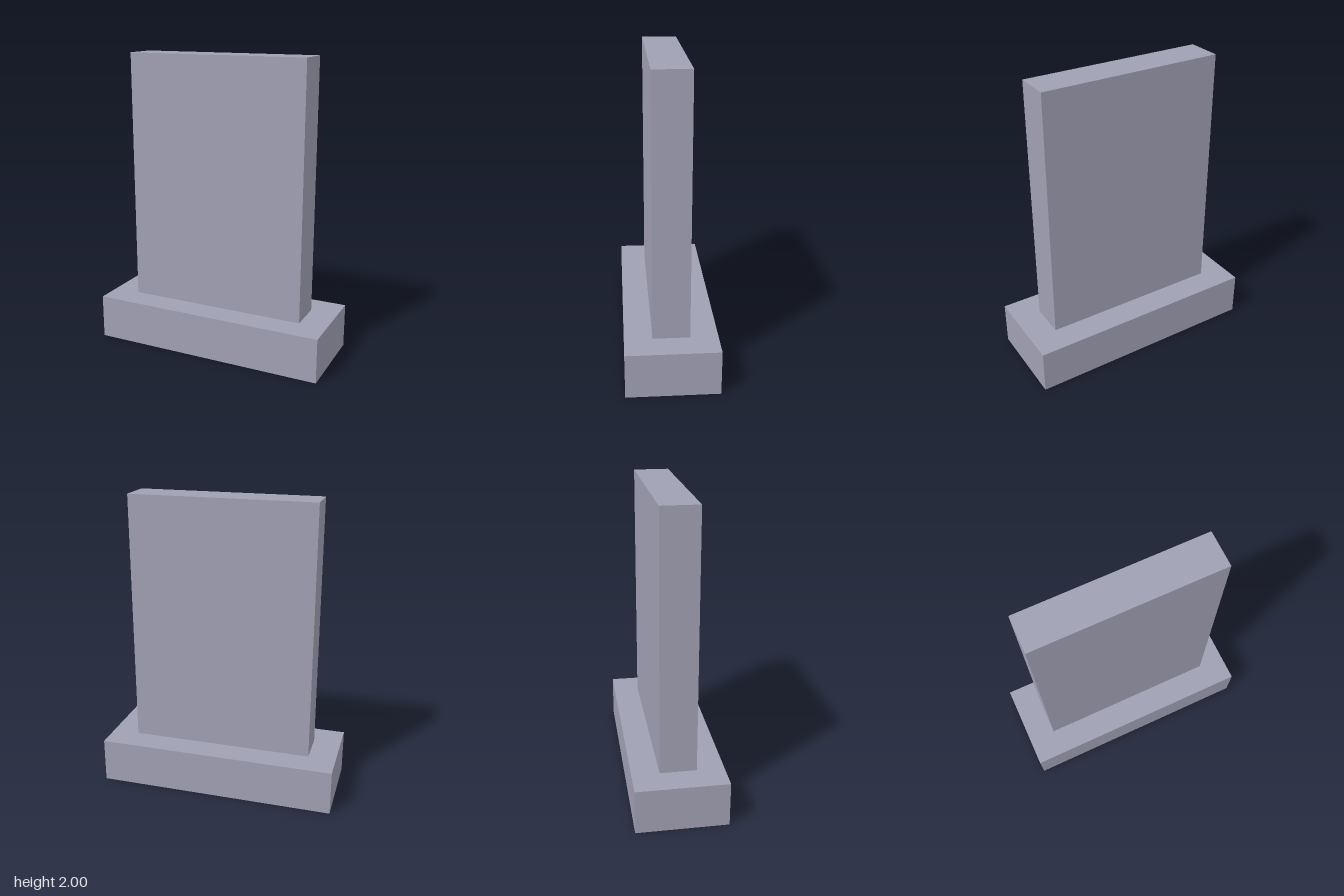
import * as THREE from 'three';

// Box standing on y0, optionally without its bottom face
function block(name, w, d, y0, y1, material, open = false) {
  const geometry = new THREE.BoxGeometry(w, y1 - y0, d);
  if (open) {
    const index = Array.from(geometry.index.array);
    index.splice(18, 6); // the bottom face is the fourth of six
    geometry.setIndex(index);
    geometry.clearGroups();
  }
  const mesh = new THREE.Mesh(geometry, material);
  mesh.name = name;
  mesh.position.y = (y0 + y1) / 2;
  return mesh;
}

export function createModel() {
  const stone = new THREE.MeshStandardMaterial({ color: 0xa0a0b4, side: THREE.DoubleSide });
  stone.name = 'grey stone';

  const model = new THREE.Group();
  model.name = 'headstone';
  // Hollow plinth, open underneath
  model.add(block('plinth', 1.6, 0.6, 0, 0.3, stone, true));
  // Upright slab, let slightly into the plinth
  model.add(block('slab', 1.23, 0.24, 0.29, 2, stone));
  return model;
}
